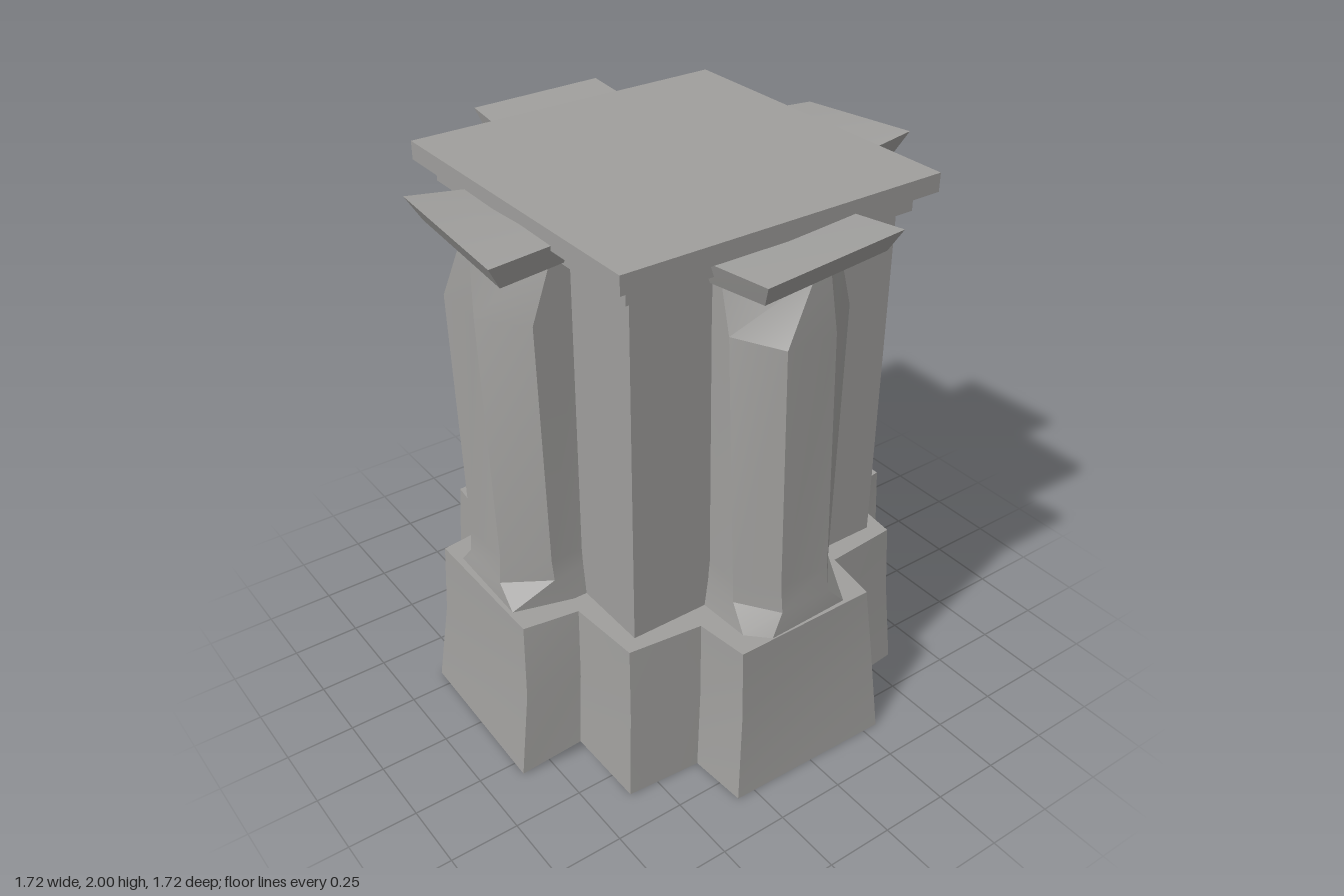
import * as THREE from 'three';
import { toCreasedNormals } from 'three/addons/utils/BufferGeometryUtils.js';

const material = new THREE.MeshStandardMaterial({ color: 0x9f9e9c });

// Closed loft through rings of [x, y, z], bottom to top, counter-clockwise from above
function loft(rings) {
  const pos = [];
  const n = rings[0].length;
  const tri = (...pts) => pts.forEach(p => pos.push(...p));
  const centre = ring => [0, 1, 2].map(k => ring.reduce((s, p) => s + p[k], 0) / n);
  const first = rings[0], last = rings[rings.length - 1];
  const c0 = centre(first), c1 = centre(last);
  for (let j = 0; j < n; j++) {
    const k = (j + 1) % n;
    for (let i = 0; i < rings.length - 1; i++) {
      const a = rings[i][j], b = rings[i][k], c = rings[i + 1][k], d = rings[i + 1][j];
      tri(a, b, c);
      tri(a, c, d);
    }
    tri(c0, first[k], first[j]);
    tri(c1, last[j], last[k]);
  }
  const g = new THREE.BufferGeometry();
  g.setAttribute('position', new THREE.Float32BufferAttribute(pos, 3));
  return toCreasedNormals(g, 0.4);
}

// Repeat a quarter outline of [x, z] four times around the y axis, at height y
function fourfold(y, points) {
  const ring = [];
  for (let q = 0; q < 4; q++) {
    for (const [x, z] of points) {
      ring.push([[x, y, z], [z, y, -x], [-x, y, -z], [-z, y, x]][q]);
    }
  }
  return ring;
}

// Bevelled pilaster, pinched at the top and flared at the foot; footY lifts one toe
function pilaster(footY) {
  return loft([
    [[-0.23, 0.6, 0.5], [-0.22, 0.6, 0.72], [-0.15, footY, 0.79], [0.17, 0.6, 0.78], [0.23, 0.6, 0.57], [0.23, 0.6, 0.5]],
    [[-0.215, 0.72, 0.5], [-0.21, 0.69, 0.65], [-0.105, 0.68, 0.78], [0.095, 0.68, 0.78], [0.215, 0.7, 0.635], [0.215, 0.72, 0.5]],
    [[-0.21, 0.78, 0.5], [-0.21, 0.78, 0.645], [-0.107, 0.78, 0.77], [0.092, 0.78, 0.77], [0.21, 0.78, 0.64], [0.21, 0.78, 0.5]],
    [[-0.22, 1.68, 0.5], [-0.22, 1.68, 0.605], [-0.135, 1.68, 0.775], [0.055, 1.68, 0.775], [0.21, 1.68, 0.66], [0.21, 1.68, 0.5]],
    [[-0.22, 1.9, 0.5], [-0.22, 1.89, 0.55], [-0.03, 1.89, 0.76], [0.03, 1.89, 0.76], [0.21, 1.89, 0.585], [0.21, 1.9, 0.5]],
  ]);
}

// Crooked capping stone from the heights of its four top corners
function cappingStone(outerLeft, outerRight, innerLeft, innerRight) {
  const t = 0.08;
  return loft([
    [[-0.23, outerLeft - t, 0.775], [0.235, outerRight - t, 0.775], [0.235, innerRight - t, 0.5], [-0.23, innerLeft - t, 0.5]],
    [[-0.258, outerLeft, 0.82], [0.255, outerRight, 0.82], [0.255, innerRight, 0.5], [-0.258, innerLeft, 0.5]],
  ]);
}

export function createModel() {
  const model = new THREE.Group();
  const add = (name, geometry, parent = model) => {
    const mesh = new THREE.Mesh(geometry, material);
    mesh.name = name;
    parent.add(mesh);
    return mesh;
  };
  const slab = (name, width, y0, y1) => {
    add(name, new THREE.BoxGeometry(width, y1 - y0, width)).position.y = (y0 + y1) / 2;
  };

  // Cross-shaped plinth, flaring towards the ground, with one chipped inner corner
  const foot = fourfold(0, [[-0.32, 0.845], [0.31, 0.86], [0.335, 0.635], [0.61, 0.61], [0.63, 0.335]]);
  const underside = foot.map(([x, , z]) => [x * 0.75, 0, z * 0.75]);
  foot[2][1] = 0.045;
  add('plinth', loft([
    underside,
    foot,
    fourfold(0.33, [[-0.285, 0.81], [0.295, 0.815], [0.315, 0.61], [0.585, 0.585], [0.61, 0.31]]),
    fourfold(0.6, [[-0.28, 0.795], [0.265, 0.795], [0.295, 0.595], [0.57, 0.575], [0.6, 0.305]]),
  ]));

  // Square shaft and stepped cap
  slab('shaft', 1.04, 0.59, 1.88);
  slab('lowerCap', 1.11, 1.865, 1.935);
  slab('upperCap', 1.22, 1.935, 2);

  // One pilaster and one tilted stone on each side
  const lowRight = [1.98, 1.935, 1.935, 1.96];
  [
    ['front', 0.635, lowRight],
    ['left', 0.6, [1.94, 1.98, 1.905, 1.94]],
    ['back', 0.6, lowRight],
    ['right', 0.6, [1.98, 1.975, 1.955, 1.935]],
  ].forEach(([side, footY, heights], i) => {
    const group = new THREE.Group();
    group.name = side + 'Buttress';
    add('pilaster', pilaster(footY), group);
    add('cappingStone', cappingStone(...heights), group);
    group.rotation.y = i * Math.PI / 2;
    model.add(group);
  });

  return model;
}
